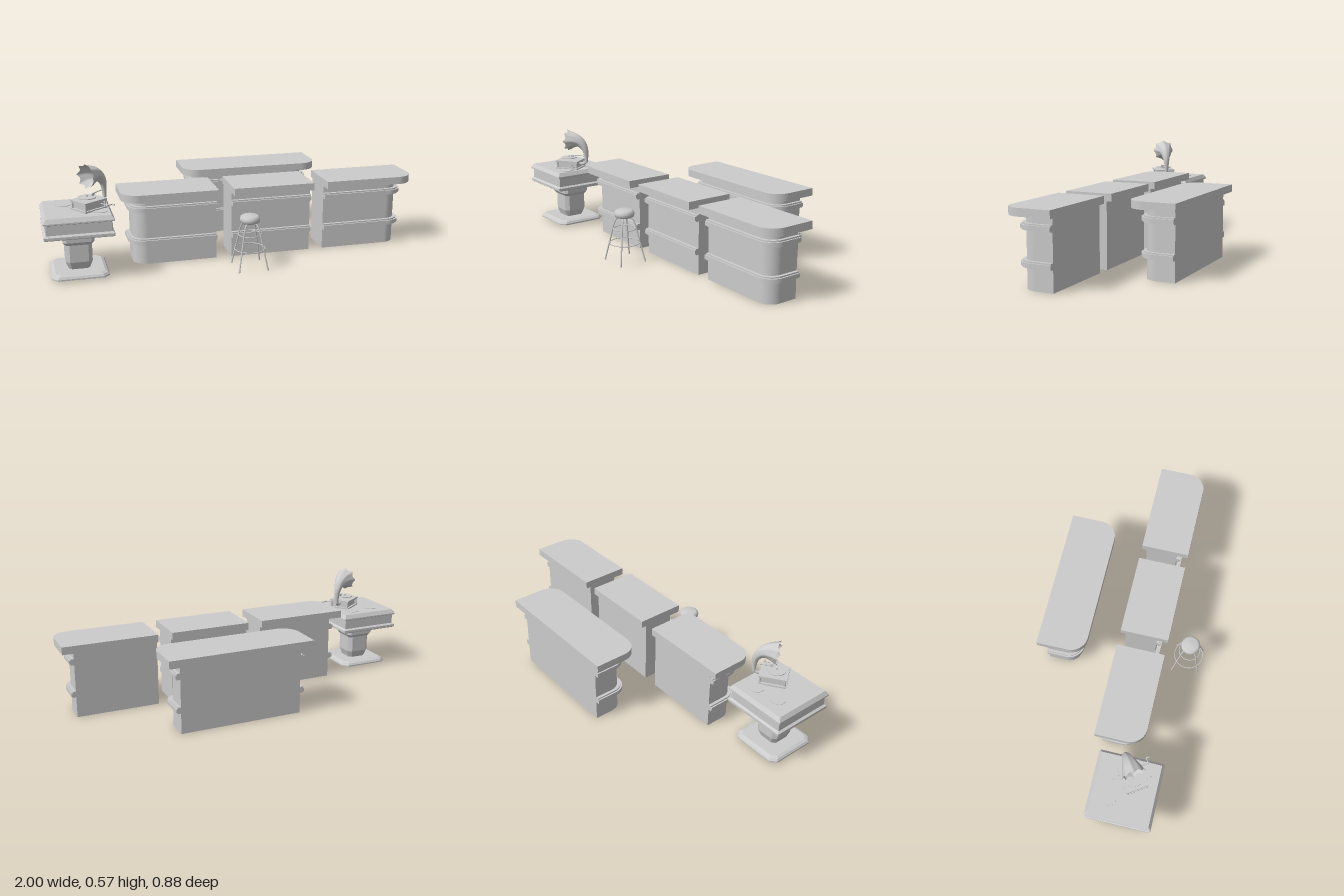
import * as THREE from 'three';

const mat = new THREE.MeshStandardMaterial({ color: 0xcccccc });
const flat = new THREE.MeshStandardMaterial({ color: 0xcccccc, flatShading: true });
const thin = new THREE.MeshStandardMaterial({ color: 0xcccccc, side: THREE.DoubleSide });

function add(parent, name, geometry, x = 0, y = 0, z = 0, material = mat) {
  const mesh = new THREE.Mesh(geometry, material);
  mesh.name = name;
  mesh.position.set(x, y, z);
  parent.add(mesh);
  return mesh;
}

// Joins rings of equally many points into a skin, with optional end caps
function loft(rings, caps = true) {
  const n = rings[0].length, index = [];
  const pos = rings.flat().flatMap(p => [p.x, p.y, p.z]);
  for (let r = 0; r < rings.length - 1; r++) {
    for (let i = 0; i < n; i++) {
      const a = r * n + i, b = r * n + (i + 1) % n;
      index.push(a, a + n, b, b, a + n, b + n);
    }
  }
  if (caps) {
    const top = (rings.length - 1) * n;
    for (let i = 1; i < n - 1; i++) index.push(0, i, i + 1, top, top + i + 1, top + i);
  }
  const g = new THREE.BufferGeometry();
  g.setAttribute('position', new THREE.Float32BufferAttribute(pos, 3));
  g.setIndex(index);
  g.computeVertexNormals();
  return g;
}

// Stack of squares with cut corners; profile entries are [half width, height]
function squareStack(profile, cut) {
  return loft(profile.map(([h, y]) => {
    const k = h * (1 - cut);
    return [[h, -k], [h, k], [k, h], [-k, h], [-h, k], [-h, -k], [-k, -h], [k, -h]]
      .map(([x, z]) => new THREE.Vector3(x, y, z));
  }));
}

// Slab seen from above, with its front corners rounded where wanted
function slab(x0, x1, zBack, zFront, y0, y1, rl, rr) {
  const s = new THREE.Shape();
  s.moveTo(x0, zBack);
  s.lineTo(x1, zBack);
  s.lineTo(x1, zFront - rr);
  if (rr) s.absarc(x1 - rr, zFront - rr, rr, 0, Math.PI / 2, false);
  s.lineTo(x0 + rl, zFront);
  if (rl) s.absarc(x0 + rl, zFront - rl, rl, Math.PI / 2, Math.PI, false);
  s.closePath();
  const g = new THREE.ExtrudeGeometry(s, { depth: y1 - y0, bevelEnabled: false, curveSegments: 10 });
  g.rotateX(Math.PI / 2);
  g.translate(0, y1, 0);
  return g;
}

function counter(name, x0, x1, zBack, roundLow, roundHigh) {
  const g = new THREE.Group();
  g.name = name;
  const layer = (part, inset, back, y0, y1, r) => add(g, part, slab(
    x0 + (roundLow ? inset : 0), x1 - (roundHigh ? inset : 0),
    zBack + back, zBack + 0.26 - inset, y0, y1, roundLow ? r : 0, roundHigh ? r : 0));
  layer('counterTop', 0, 0, 0.352, 0.392, 0.09);
  layer('counterBody', 0.063, 0.026, 0, 0.352, 0.07);
  // Two stepped rails around the front
  for (const y of [0.108, 0.282]) {
    layer('railLower', 0.045, 0.026, y, y + 0.006, 0.08);
    layer('railMiddle', 0.039, 0.026, y + 0.006, y + 0.026, 0.085);
    layer('railUpper', 0.047, 0.026, y + 0.026, y + 0.033, 0.08);
  }
  return g;
}

function stool() {
  const g = new THREE.Group();
  g.name = 'stool';
  const profile = [[0, 0.246], [0.042, 0.246], [0.049, 0.25], [0.052, 0.26], [0.052, 0.268],
    [0.048, 0.279], [0.038, 0.285], [0, 0.288]].map(p => new THREE.Vector2(...p));
  add(g, 'stoolSeat', new THREE.LatheGeometry(profile, 32));
  for (let i = 0; i < 4; i++) {
    const a = Math.PI / 4 + i * Math.PI / 2;
    const path = new THREE.CatmullRomCurve3([[0.107, 0.01], [0.076, 0.13], [0.05, 0.225], [0.038, 0.24], [0.01, 0.247]]
      .map(([r, y]) => new THREE.Vector3(r * Math.cos(a), y, r * Math.sin(a))));
    add(g, 'stoolLeg', new THREE.TubeGeometry(path, 16, 0.004, 8));
    add(g, 'stoolFoot', new THREE.CylinderGeometry(0.004, 0.005, 0.008, 8),
      0.107 * Math.cos(a), 0.01, 0.107 * Math.sin(a));
  }
  for (const [r, y] of [[0.058, 0.183], [0.079, 0.107]]) {
    add(g, 'footRing', new THREE.TorusGeometry(r, 0.0025, 8, 40), 0, y, 0).rotation.x = Math.PI / 2;
  }
  return g;
}

function table() {
  const g = new THREE.Group();
  g.name = 'pedestalTable';
  add(g, 'tableBase', squareStack([[0.143, 0.012], [0.143, 0.019], [0.136, 0.029], [0.122, 0.036]], 0.2), 0, 0, 0, flat);
  add(g, 'tableColumn', squareStack([[0.053, 0.034], [0.067, 0.075], [0.067, 0.17]], 0.3), 0, 0, 0, flat);
  add(g, 'columnCap', squareStack([[0.066, 0.165], [0.079, 0.183], [0.079, 0.22], [0.07, 0.234]], 0.2), 0, 0, 0, flat);
  add(g, 'tableTop', squareStack([[0.165, 0.232], [0.173, 0.237], [0.173, 0.25], [0.162, 0.258], [0.162, 0.308],
    [0.173, 0.313], [0.173, 0.32], [0.159, 0.341]], 0.015), 0, 0, 0, flat);
  // Loose discs lying on the top
  for (const [x, z] of [[-0.06, -0.07], [0.07, -0.085], [0.11, 0.08]]) {
    add(g, 'looseDisc', new THREE.CylinderGeometry(0.04, 0.04, 0.003, 28), x, 0.342, z);
  }
  return g;
}

function gramophone() {
  const g = new THREE.Group();
  g.name = 'gramophone';
  const box = (name, w, h, d, y) => add(g, name, new THREE.BoxGeometry(w, h, d), 0, y, 0);
  box('caseFoot', 0.14, 0.008, 0.118, 0.345);
  box('caseBody', 0.115, 0.034, 0.094, 0.364);
  box('caseLid', 0.14, 0.01, 0.118, 0.386);
  for (const x of [-0.062, 0.062]) for (const z of [-0.051, 0.051]) {
    add(g, 'casePost', new THREE.CylinderGeometry(0.005, 0.005, 0.036, 10), x, 0.365, z);
  }
  add(g, 'spindle', new THREE.CylinderGeometry(0.004, 0.004, 0.028, 10), -0.01, 0.4, 0);
  add(g, 'turntable', new THREE.CylinderGeometry(0.046, 0.046, 0.004, 32), -0.01, 0.402, 0);

  const tube = (name, pts, r) => add(g, name, new THREE.TubeGeometry(
    new THREE.CatmullRomCurve3(pts.map(p => new THREE.Vector3(...p))), 16, r, 8));
  tube('toneArm', [[0.1, 0.417, 0], [0.06, 0.418, 0.004], [0.02, 0.416, 0.012]], 0.003);
  add(g, 'soundBox', new THREE.CylinderGeometry(0.008, 0.008, 0.006, 14), 0.018, 0.413, 0.014).rotation.x = Math.PI / 2;
  tube('hornBracket', [[0.05, 0.372, 0], [0.085, 0.37, 0], [0.102, 0.385, 0]], 0.009);
  tube('crankShaft', [[0.039, 0.367, 0.04], [0.039, 0.367, 0.07], [0.039, 0.367, 0.1]], 0.003);
  add(g, 'crankArm', new THREE.BoxGeometry(0.034, 0.005, 0.004), 0.052, 0.367, 0.099);
  add(g, 'crankHandle', new THREE.CylinderGeometry(0.004, 0.004, 0.02, 10), 0.067, 0.367, 0.107).rotation.x = Math.PI / 2;

  // Horn: a widening bent tube whose eight ribs grow into points at the mouth
  const path = new THREE.CatmullRomCurve3([[0.103, 0.378], [0.103, 0.42], [0.096, 0.46], [0.07, 0.495], [0.035, 0.508], [-0.005, 0.508]]
    .map(([x, y]) => new THREE.Vector3(x, y, 0)));
  const rings = [], steps = 18, sides = 48;
  for (let s = 0; s <= steps; s++) {
    const t = s / steps, c = path.getPoint(t), d = path.getTangent(t), ring = [];
    const r = 0.01 + 0.044 * Math.pow(t, 1.7);
    for (let i = 0; i < sides; i++) {
      const a = i / sides * Math.PI * 2;
      const rib = 1 - Math.abs(Math.sin(4 * a));
      const q = r * (1 + 0.17 * t * t * rib), out = 0.012 * Math.pow(t, 6) * rib;
      ring.push(new THREE.Vector3(
        c.x + d.y * q * Math.cos(a) + d.x * out,
        c.y - d.x * q * Math.cos(a) + d.y * out,
        q * Math.sin(a)));
    }
    rings.push(ring);
  }
  add(g, 'horn', loft(rings, false), 0, 0, 0, thin);
  return g;
}

export function createModel() {
  const model = new THREE.Group();
  model.name = 'barSet';
  model.add(
    counter('rightCounter', -0.6, -0.1, -0.022, true, false),
    counter('middleCounter', -0.017, 0.42, -0.022, false, false),
    counter('leftCounter', 0.497, 1, -0.022, false, true),
    counter('backCounter', -0.19, 0.59, -0.442, true, true));

  const seat = stool();
  seat.position.set(0.03, 0, 0.36);
  const stand = table();
  stand.position.set(-0.827, 0, 0.193);
  const player = gramophone();
  player.position.set(-0.765, 0, 0.22);
  player.rotation.y = 0.6;
  model.add(seat, stand, player);
  return model;
}
